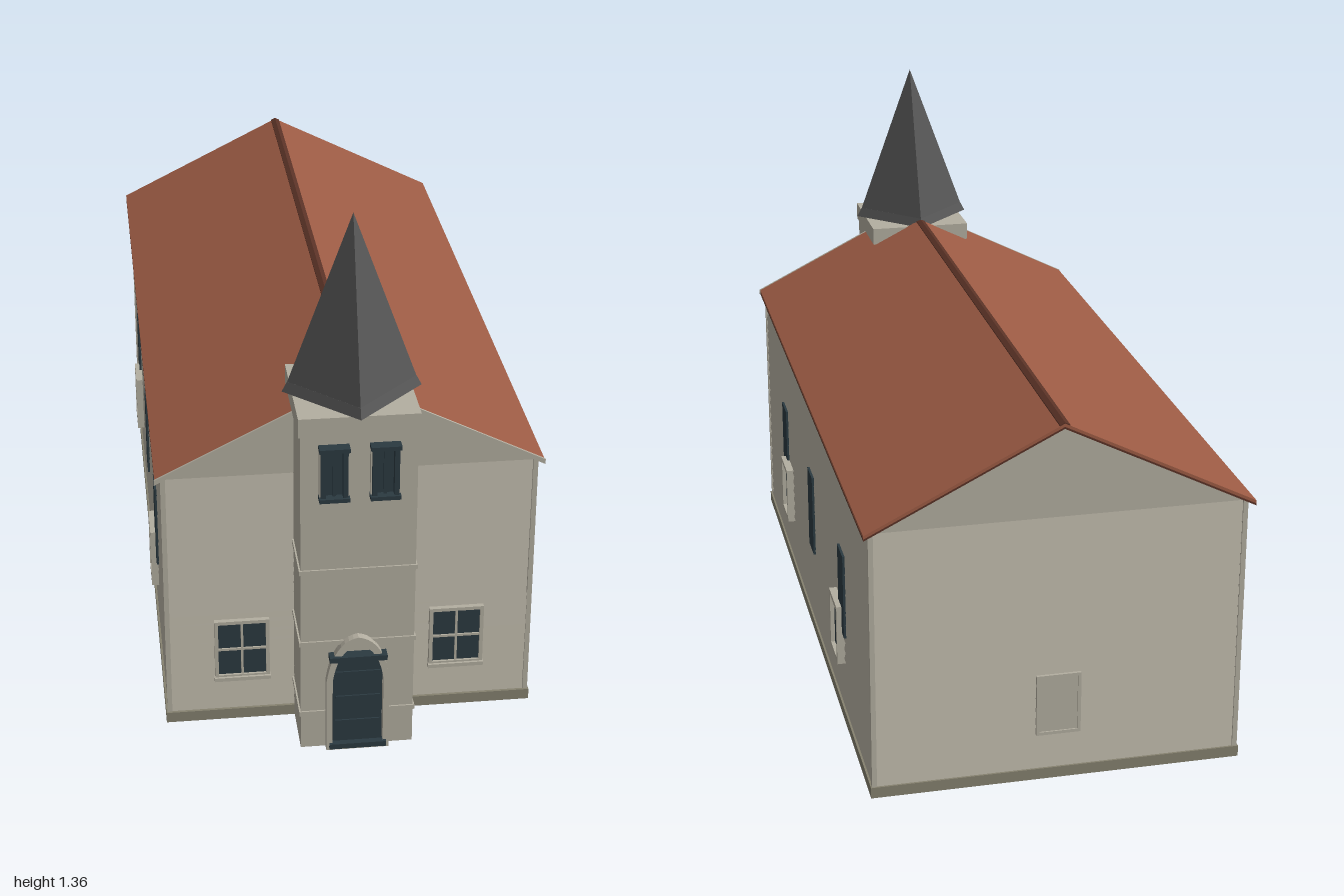
import * as THREE from 'three';

const mat = (name, color) => {
  const m = new THREE.MeshStandardMaterial({ color });
  m.name = name;
  return m;
};

export function createModel() {
  const wall = mat('cream boards', 0xb3aea0);
  const stone = mat('foundation grey', 0x85816f);
  const tile = mat('terracotta roof', 0x9c5b44);
  const brown = mat('dark brown trim', 0x5a3226);
  const slate = mat('slate spire', 0x565656);
  const dark = mat('dark glass', 0x2b3a41);

  const church = new THREE.Group();
  church.name = 'church';

  const add = (parent, name, geometry, material) => {
    const mesh = new THREE.Mesh(geometry, material);
    mesh.name = name;
    parent.add(mesh);
    return mesh;
  };
  // Box given by its limits on each axis
  const box = (parent, name, material, x0, x1, y0, y1, z0, z1) => {
    const m = add(parent, name, new THREE.BoxGeometry(x1 - x0, y1 - y0, z1 - z0), material);
    m.position.set((x0 + x1) / 2, (y0 + y1) / 2, (z0 + z1) / 2);
    return m;
  };
  // Cross-section in x and y, extruded from z0 to z1
  const prism = (parent, name, material, points, z0, z1) => {
    const shape = new THREE.Shape(points.map(([x, y]) => new THREE.Vector2(x, y)));
    const g = new THREE.ExtrudeGeometry(shape, { depth: z1 - z0, bevelEnabled: false });
    return add(parent, name, g.translate(0, 0, z0), material);
  };
  const group = (name, x = 0, y = 0, z = 0, turn = 0) => {
    const g = new THREE.Group();
    g.name = name;
    g.position.set(x, y, z);
    g.rotation.y = turn;
    church.add(g);
    return g;
  };

  // Nave: foundation and overlapping boards
  const W = 0.455, BACK = -0.98, FRONT = 0.825, EAVE = 0.69;
  box(church, 'foundation', stone, -0.46, 0.46, 0, 0.028, -0.985, 0.832);
  const siding = group('siding');
  const boards = 24, h = (EAVE - 0.028) / boards;
  for (let i = 0; i < boards; i++) {
    const y = 0.028 + i * h;
    const b = box(siding, 'board', wall, -W, W, y, y + h, BACK, FRONT);
    const p = b.geometry.attributes.position;
    for (let k = 0; k < p.count; k++) {
      if (p.getY(k) < 0) continue;
      p.setX(k, p.getX(k) - Math.sign(p.getX(k)) * 0.006);
      p.setZ(k, p.getZ(k) - Math.sign(p.getZ(k)) * 0.006);
    }
    b.geometry.computeVertexNormals();
  }
  for (const x of [-1, 1]) for (const z of [BACK, FRONT]) {
    const cx = x * 0.451, cz = z - Math.sign(z) * 0.004;
    box(church, 'cornerBoard', wall, cx - 0.006, cx + 0.006, 0.028, EAVE, cz - 0.006, cz + 0.006);
  }

  // Gables; the front part is cut off below the tower top
  const roofY = (x) => 0.93 - 0.5 * Math.abs(x);
  const under = (x) => roofY(x) - 0.012;
  prism(church, 'backGable', wall,
    [[-W, EAVE], [W, EAVE], [W, under(W)], [0, under(0)], [-W, under(W)]], BACK, 0.69);
  prism(church, 'frontGable', wall,
    [[-W, EAVE], [W, EAVE], [W, under(W)], [0.13, under(0.13)], [-0.13, under(0.13)], [-W, under(W)]], 0.69, FRONT);

  // Roof slopes with a notch around the tower
  for (const s of [1, -1]) {
    const slab = (name, material, xa, xb, top, bottom, z0, z1) => {
      const pts = [[s * xa, roofY(xa) - top], [s * xa, roofY(xa) - bottom],
        [s * xb, roofY(xb) - bottom], [s * xb, roofY(xb) - top]];
      prism(church, name, material, pts, z0, z1);
    };
    for (const [xa, z0, z1] of [[0, -1, 0.688], [0.14, 0.688, 0.832]]) {
      slab('roofSlope', tile, xa, 0.47, 0, 0.008, z0, z1);
      slab('roofUnderside', brown, xa, 0.47, 0.008, 0.013, z0, z1);
    }
    slab('frontRake', wall, 0.14, 0.472, -0.001, 0.012, 0.832, 0.838);
    slab('ridgeCap', brown, 0, 0.012, -0.003, 0, -1, 0.688);
  }

  // Tower with string courses
  const tower = group('tower');
  box(tower, 'towerShaft', wall, -0.138, 0.138, 0, 0.9, 0.7, 0.972);
  box(tower, 'towerTop', wall, -0.143, 0.143, 0.862, 0.91, 0.685, 0.975);
  for (const y of [0.1, 0.3, 0.5])
    box(tower, 'stringCourse', wall, -0.142, 0.142, y - 0.006, y + 0.006, 0.8, 0.976);

  // Four-sided spire set cornerwise, with a slight flare at the foot
  const spireGeo = new THREE.CylinderGeometry(0, 0.153, 0.42, 4, 1).toNonIndexed();
  spireGeo.computeVertexNormals();
  add(tower, 'spire', spireGeo, slate).position.set(0, 1.145, 0.83);
  const flareGeo = new THREE.CylinderGeometry(0.153, 0.166, 0.025, 4, 1).toNonIndexed();
  flareGeo.computeVertexNormals();
  add(tower, 'spireFoot', flareGeo, slate).position.set(0, 0.9235, 0.83);

  // Doorway: arched surround, door leaf and dark bars
  const arch = (path, w, top) => path.moveTo(-w, 0).lineTo(w, 0).lineTo(w, 0.2)
    .quadraticCurveTo(w * 0.8, top - 0.01, 0, top).quadraticCurveTo(-w * 0.8, top - 0.01, -w, 0.2).lineTo(-w, 0);
  const surround = arch(new THREE.Shape(), 0.077, 0.322);
  surround.holes.push(arch(new THREE.Path(), 0.062, 0.3));
  const door = group('doorway', 0, 0, 0.972);
  add(door, 'doorSurround', new THREE.ExtrudeGeometry(surround, { depth: 0.02, bevelEnabled: false, curveSegments: 10 }), wall);
  box(door, 'doorLeaf', dark, -0.06, 0.06, 0.01, 0.268, 0, 0.012);
  for (const y of [0.014, 0.265])
    box(door, 'doorBar', dark, -0.07, 0.07, y - 0.007, y + 0.007, 0, 0.028);
  for (const y of [0.08, 0.15, 0.22])
    box(door, 'doorRail', dark, -0.055, 0.055, y - 0.003, y + 0.003, 0, 0.016);

  // Framed window facing +z of its own group, centred on its origin
  const framedWindow = (name, w, hgt, f, depth, x, y, z, turn, pane = dark) => {
    const g = group(name, x, y, z, turn);
    const a = w / 2, b = hgt / 2;
    box(g, 'pane', pane, -a + f, a - f, -b + f, b - f, -0.004, depth * 0.4);
    for (const s of [-1, 1]) {
      const c = s * (a - f / 2), d = s * (b - f / 2);
      box(g, 'jamb', wall, c - f / 2, c + f / 2, -b, b, -0.008, depth);
      box(g, 'rail', wall, -a, a, d - f / 2, d + f / 2, -0.008, depth);
    }
    return g;
  };

  for (const s of [-1, 1]) {
    // Front windows with glazing bars and sill
    const g = framedWindow('frontWindow', 0.136, 0.164, 0.009, 0.01, s * 0.268, 0.205, FRONT, 0);
    box(g, 'mullion', wall, -0.003, 0.003, -0.075, 0.075, 0, 0.008);
    box(g, 'transom', wall, -0.06, 0.06, -0.003, 0.003, 0, 0.008);
    box(g, 'sill', wall, -0.07, 0.07, -0.088, -0.078, 0, 0.016);

    // Belfry windows
    const b = framedWindow('belfryWindow', 0.07, 0.135, 0.007, 0.014, s * 0.06, 0.77, 0.972, 0);
    box(b, 'mullion', dark, -0.004, 0.004, -0.06, 0.06, 0, 0.012);
    for (const e of [-1, 1]) {
      box(b, 'shutter', dark, e * 0.026 - 0.006, e * 0.026 + 0.006, -0.06, 0.06, 0, 0.022);
      box(b, 'shutterBar', dark, -0.036, 0.036, e * 0.065 - 0.005, e * 0.065 + 0.005, 0, 0.028);
    }

    // Tall side panels and small framed side windows
    for (const z of [0.43, -0.07, -0.575])
      box(church, 'sidePanel', dark, s * 0.457 - 0.003, s * 0.457 + 0.003, 0.24, 0.465, z - 0.04, z + 0.04);
    for (const z of [0.37, -0.525])
      framedWindow('sideWindow', 0.115, 0.16, 0.012, 0.018, s * W, 0.232, z, s * Math.PI / 2);
  }

  // Blank panel on the back wall
  framedWindow('backPanel', 0.11, 0.16, 0.008, 0.006, 0, 0.2, BACK, Math.PI, wall);

  return church;
}
